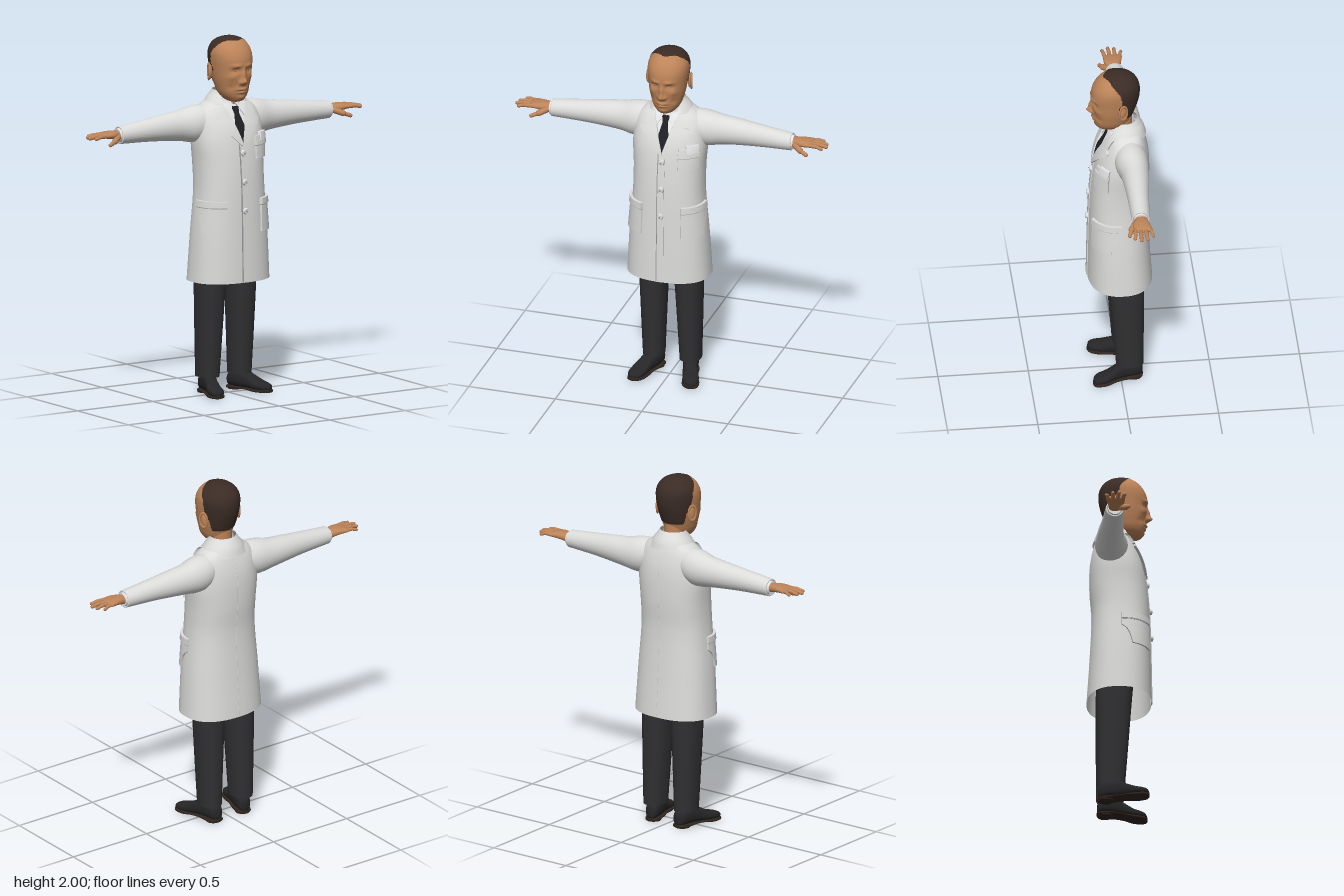
import * as THREE from 'three';
import { toCreasedNormals } from 'three/addons/utils/BufferGeometryUtils.js';

const mat = (name, color, side = THREE.DoubleSide) => {
  const m = new THREE.MeshStandardMaterial({ color, side });
  m.name = name;
  return m;
};
const sgnPow = (v, p) => Math.sign(v) * Math.pow(Math.abs(v), p);

// Smooth lookup in rows [key, halfWidth, front, back, centre] sorted by key
function at(rows, k) {
  let i = 0;
  while (i < rows.length - 2 && k > rows[i + 1][0]) i++;
  const a = rows[i], b = rows[i + 1], pr = rows[i - 1] || a, nx = rows[i + 2] || b;
  const h = b[0] - a[0], t = THREE.MathUtils.clamp((k - a[0]) / h, 0, 1);
  return [1, 2, 3, 4].map((c) => {
    const A = a[c] || 0, B = b[c] || 0;
    const m0 = (B - (pr[c] || 0)) / (b[0] - pr[0]) * h, m1 = ((nx[c] || 0) - A) / (nx[0] - a[0]) * h;
    return A + t * m0 + t * t * (3 * (B - A) - 2 * m0 - m1) + t * t * t * (m0 + m1 - 2 * (B - A));
  });
}

function pointOn(rows, k, a, p, off = 0) {
  const [r, f, b, c] = at(rows, k);
  return [c + (Math.max(r, 0) + off) * sgnPow(Math.cos(a), p),
    (f + b) / 2 + ((f - b) / 2 + off) * sgnPow(Math.sin(a), p)];
}

function build(pos, index) {
  const g = new THREE.BufferGeometry();
  g.setAttribute('position', new THREE.Float32BufferAttribute(pos, 3));
  g.setIndex(index);
  g.computeVertexNormals();
  return g;
}

// Skin stretched over cross-sections along the x, y or z axis
function loft(rows, axis = 'y', { p = 1, n = 32, steps = 24, a0 = 0, arc = Math.PI * 2 } = {}) {
  const pos = [], index = [], full = arc > 6.28, cols = full ? n : n + 1;
  const k0 = rows[0][0], k1 = rows[rows.length - 1][0];
  for (let j = 0; j <= steps; j++) {
    const k = k0 + (k1 - k0) * (1 - Math.cos(Math.PI * j / steps)) / 2;
    for (let i = 0; i < cols; i++) {
      const [u, v] = pointOn(rows, k, a0 + arc * i / n, p);
      pos.push(...(axis === 'y' ? [u, k, v] : axis === 'x' ? [k, u, v] : [u, v, k]));
    }
  }
  for (let j = 0; j < steps; j++) for (let i = 0; i < n; i++) {
    const A = j * cols + i, B = j * cols + (i + 1) % cols, C = A + cols, D = B + cols;
    if (axis === 'y') index.push(A, C, B, B, C, D); else index.push(A, B, C, B, D, C);
  }
  return build(pos, index);
}

function mirrored(geo) {
  const g = geo.clone().scale(-1, 1, 1);
  const idx = g.index ? Array.from(g.index.array) : Array.from({ length: g.attributes.position.count }, (_, i) => i);
  for (let i = 0; i < idx.length; i += 3) [idx[i], idx[i + 1]] = [idx[i + 1], idx[i]];
  g.setIndex(idx);
  return g;
}

// Coat body sections and a panel that lies on its front
const COAT = [[0.64, 0.235, 0.175, -0.182], [0.9, 0.22, 0.17, -0.165], [1.15, 0.2, 0.163, -0.155],
  [1.3, 0.2, 0.152, -0.165], [1.42, 0.208, 0.135, -0.166], [1.5, 0.203, 0.112, -0.16],
  [1.56, 0.195, 0.083, -0.147], [1.6, 0.17, 0.062, -0.135], [1.635, 0.12, 0.042, -0.122], [1.66, 0.08, 0.03, -0.105]];
const CP = 0.85;
const line = (pts) => (y) => {
  let i = 0;
  while (i < pts.length - 2 && y > pts[i + 1][0]) i++;
  const [a, b] = [pts[i], pts[i + 1]];
  return a[1] + (b[1] - a[1]) * THREE.MathUtils.clamp((y - a[0]) / (b[0] - a[0]), 0, 1);
};
function panel(y0, y1, outer, inner, off, n = 10, rowsN = 20) {
  const pos = [], index = [];
  const fn = (f) => (typeof f === 'number' ? () => f : f);
  const angle = (x, y) => Math.acos(THREE.MathUtils.clamp(sgnPow(x / at(COAT, y)[0], 1 / CP), -1, 1));
  for (let j = -1; j <= rowsN + 1; j++) for (let i = -1; i <= n + 1; i++) {
    const rim = j < 0 || i < 0 || j > rowsN || i > n;
    const y = y0 + (y1 - y0) * THREE.MathUtils.clamp(j / rowsN, 0, 1), t = THREE.MathUtils.clamp(i / n, 0, 1);
    const a = THREE.MathUtils.lerp(angle(fn(outer)(y), y), angle(fn(inner)(y), y), t);
    const [x, z] = pointOn(COAT, y, a, CP, rim ? -0.003 : off);
    pos.push(x, y, z);
  }
  const w = n + 3;
  for (let j = 0; j < rowsN + 2; j++) for (let i = 0; i < n + 2; i++) {
    const A = j * w + i;
    index.push(A, A + w, A + 1, A + 1, A + w, A + w + 1);
  }
  return toCreasedNormals(build(pos, index), 0.7);
}

// Head with features raised from a smooth base; hair is a face group
function headGeometry() {
  const g = loft([[1.635, 0, 0.07, 0.05], [1.645, 0.038, 0.11, 0], [1.665, 0.062, 0.127, -0.035], [1.69, 0.078, 0.136, -0.055],
    [1.72, 0.088, 0.143, -0.07], [1.77, 0.1, 0.147, -0.088], [1.83, 0.108, 0.152, -0.106], [1.88, 0.113, 0.152, -0.113],
    [1.92, 0.111, 0.139, -0.11], [1.955, 0.096, 0.115, -0.094], [1.98, 0.07, 0.085, -0.066], [1.995, 0.035, 0.048, -0.026],
    [2, 0, 0.01, 0.01]], 'y', { n: 128, steps: 110, p: 0.95 });
  // [x, y, depth, spread x, spread y]
  const bumps = [[0, 1.762, 0.03, 0.014, 0.017], [0, 1.795, 0.018, 0.011, 0.028], [0.017, 1.756, 0.012, 0.009, 0.01],
    [0.042, 1.822, -0.015, 0.02, 0.013], [0.042, 1.82, 0.007, 0.012, 0.007], [0.04, 1.85, 0.008, 0.026, 0.01],
    [0.065, 1.785, 0.007, 0.02, 0.018], [0.06, 1.73, -0.007, 0.018, 0.02], [0.035, 1.745, -0.004, 0.006, 0.016],
    [0, 1.717, 0.011, 0.026, 0.008], [0, 1.699, 0.008, 0.022, 0.007], [0, 1.708, -0.007, 0.03, 0.003], [0, 1.668, 0.007, 0.025, 0.014]];
  const hairFront = line([[1.8, 0.008], [1.83, 0.008], [1.86, -0.01], [1.92, 0], [1.96, 0.035], [2, 0.075]]);
  const isHair = (x, y, z) => y > 1.73 && z < hairFront(y) + (y > 1.94 ? 0.03 * Math.exp(-((x / 0.035) ** 2)) : 0)
    && y > (z > -0.035 ? 1.81 : 1.74);
  const P = g.attributes.position;
  for (let i = 0; i < P.count; i++) {
    const x = P.getX(i), y = P.getY(i);
    let z = P.getZ(i);
    if (z > 0.02) for (const [bx, by, d, sx, sy] of bumps)
      z += d * Math.exp(-(((Math.abs(x) - bx) / sx) ** 2) - ((y - by) / sy) ** 2);
    const s = isHair(x, y, z) && y < 1.985 ? 1.03 : 1;
    P.setXYZ(i, x * s, y, z * s);
  }
  const skin = [], hair = [], id = g.index.array;
  for (let i = 0; i < id.length; i += 3) {
    const t = [id[i], id[i + 1], id[i + 2]];
    const c = (m) => t.reduce((s, v) => s + P[m](v), 0) / 3;
    (isHair(c('getX'), c('getY'), c('getZ')) ? hair : skin).push(...t);
  }
  g.setIndex([...skin, ...hair]);
  g.addGroup(0, skin.length, 0);
  g.addGroup(skin.length, hair.length, 1);
  g.computeVertexNormals();
  return g;
}

function capsule(a, b, r) {
  const A = new THREE.Vector3(...a), B = new THREE.Vector3(...b), d = B.clone().sub(A);
  const g = new THREE.CapsuleGeometry(r, d.length(), 5, 12);
  g.applyQuaternion(new THREE.Quaternion().setFromUnitVectors(new THREE.Vector3(0, 1, 0), d.normalize()));
  const m = A.add(B).multiplyScalar(0.5);
  return g.translate(m.x, m.y, m.z);
}

export function createModel() {
  const root = new THREE.Group();
  const M = { coat: mat('coat white', 0xdcdcdb), shirt: mat('shirt white', 0xe6e6e8), skin: mat('skin', 0xbd8459),
    hair: mat('hair brown', 0x3b2c25), tie: mat('tie black', 0x1f2024), trousers: mat('trouser charcoal', 0x303032),
    shoe: mat('shoe black', 0x262527), sole: mat('sole brown', 0x30251f), seam: mat('seam grey', 0xa5a5a8), eye: mat('eye dark', 0x4a3226) };
  const add = (name, geo, m) => {
    const o = new THREE.Mesh(geo, m);
    o.name = name;
    root.add(o);
  };
  const pair = (name, geo, m) => {
    add(name + 'Left', geo, m);
    add(name + 'Right', mirrored(geo), m);
  };

  // Head, neck, ears, eyes
  add('head', headGeometry(), [M.skin, M.hair]);
  add('neck', loft([[1.56, 0.066, 0.045, -0.085], [1.64, 0.06, 0.052, -0.075], [1.76, 0.065, 0.06, -0.075]]), M.skin);
  pair('ear', new THREE.SphereGeometry(1, 16, 12).scale(0.012, 0.042, 0.022).rotateY(0.35).translate(0.113, 1.805, -0.012), M.skin);
  pair('earRim', new THREE.TorusGeometry(0.024, 0.0055, 8, 24).scale(1, 1.75, 1).rotateY(Math.PI / 2 + 0.4).translate(0.12, 1.807, -0.014), M.skin);
  pair('eye', new THREE.SphereGeometry(1, 12, 8).scale(0.011, 0.0028, 0.003).rotateY(0.35).translate(0.041, 1.82, 0.132), M.eye);

  // Coat body, sleeves, collar
  add('coatBody', loft(COAT, 'y', { p: CP, n: 64, steps: 48 }), M.coat);
  pair('sleeve', loft([[0.09, 0.08, 0.03, -0.12, 1.535], [0.16, 0.1, 0.04, -0.14, 1.52], [0.22, 0.1, 0.035, -0.142, 1.515],
    [0.28, 0.087, 0.018, -0.138, 1.513], [0.37, 0.077, 0.01, -0.13, 1.513], [0.5, 0.064, 0.004, -0.115, 1.51],
    [0.69, 0.049, 0, -0.1, 1.503]], 'x'), M.coat);
  pair('sleeveHem', new THREE.TorusGeometry(0.045, 0.005, 8, 32).rotateY(Math.PI / 2).translate(0.69, 1.503, -0.05), M.coat);
  pair('shirtCuff', new THREE.CylinderGeometry(0.039, 0.041, 0.04, 24).rotateZ(-Math.PI / 2).translate(0.685, 1.503, -0.05), M.shirt);
  const openFront = (half) => ({ a0: Math.PI / 2 + half, arc: Math.PI * 2 - half * 2, n: 48 });
  add('coatCollar', loft([[1.6, 0.142, 0.085, -0.15], [1.645, 0.112, 0.065, -0.135], [1.68, 0.085, 0.045, -0.113],
    [1.697, 0.075, 0.04, -0.1]], 'y', openFront(0.75)), M.coat);
  add('shirtCollar', loft([[1.58, 0.085, 0.085, -0.1], [1.63, 0.073, 0.064, -0.092], [1.685, 0.066, 0.052, -0.088]], 'y', openFront(0.3)), M.shirt);

  // Shirt front, tie, lapels
  const vEdge = line([[1.42, 0.001], [1.625, 0.065]]);
  add('shirtFront', panel(1.42, 1.61, vEdge, (y) => -vEdge(y), 0.004), M.shirt);
  pair('shirtCollarPoint', panel(1.555, 1.63, line([[1.555, 0.05], [1.63, 0.065]]), line([[1.555, 0.046], [1.63, 0.008]]), 0.011), M.shirt);
  const tieEdge = line([[1.42, 0.003], [1.46, 0.022], [1.5, 0.03], [1.575, 0.014], [1.61, 0.022]]);
  add('tie', panel(1.42, 1.61, tieEdge, (y) => -tieEdge(y), 0.009), M.tie);
  pair('lapel', panel(1.4, 1.625, line([[1.4, 0.006], [1.535, 0.135], [1.55, 0.13], [1.557, 0.1], [1.563, 0.115], [1.625, 0.105]]),
    line([[1.4, 0], [1.43, 0.004], [1.625, 0.062]]), 0.015, 10, 40), M.coat);

  // Front opening, buttons, pockets, back seam
  add('placket', panel(0.642, 1.41, 0.018, -0.02, 0.005, 4, 30), M.coat);
  add('placketSeam', panel(0.642, 1.41, -0.018, -0.023, 0.006, 2, 30), M.seam);
  for (const y of [1.36, 1.2, 1.04]) {
    const z = at(COAT, y)[1];
    add('button', new THREE.CylinderGeometry(0.015, 0.019, 0.016, 20).rotateX(Math.PI / 2).translate(0, y, z + 0.01), M.coat);
    add('buttonThread', new THREE.CylinderGeometry(0.006, 0.006, 0.003, 12).rotateX(Math.PI / 2).translate(0, y, z + 0.0185), M.seam);
  }
  pair('sidePocket', panel(0.915, 1.1, 0.21, 0.11, 0.01), M.coat);
  pair('sidePocketHem', panel(1.065, 1.1, 0.208, 0.107, 0.016), M.coat);
  pair('sidePocketSeam', panel(1.06, 1.066, 0.208, 0.108, 0.012, 10, 2), M.seam);
  add('chestPocket', panel(1.32, 1.445, 0.182, 0.088, 0.01), M.coat);
  add('chestPocketHem', panel(1.395, 1.42, 0.184, 0.086, 0.016), M.coat);
  add('chestPocketSeam', panel(1.39, 1.396, 0.183, 0.087, 0.012, 10, 2), M.seam);
  add('pocketCloth', panel(1.42, 1.462, 0.18, 0.125, 0.015), M.shirt);
  const seamPath = Array.from({ length: 12 }, (_, i) => new THREE.Vector3(0, 0.65 + i * 0.083, at(COAT, 0.65 + i * 0.083)[2] + 0.001));
  add('backSeam', new THREE.TubeGeometry(new THREE.CatmullRomCurve3(seamPath), 40, 0.0025, 6), M.coat);

  // Hands
  pair('palm', loft([[0.67, 0.026, -0.018, -0.085, 1.503], [0.71, 0.025, -0.015, -0.085, 1.507], [0.75, 0.022, 0.0, -0.092, 1.512],
    [0.79, 0.017, 0.002, -0.1, 1.513], [0.815, 0.011, -0.004, -0.1, 1.512], [0.822, 0, -0.03, -0.07, 1.511]], 'x', { p: 0.85 }), M.skin);
  for (const [z0, z1, x1, r] of [[-0.01, 0.0, 0.875, 0.011], [-0.037, -0.033, 0.894, 0.0115], [-0.063, -0.067, 0.887, 0.011], [-0.087, -0.103, 0.86, 0.0095]]) {
    const xm = (0.8 + x1) / 2 + 0.005, zm = (z0 + z1) / 2;
    pair('fingerBase', capsule([0.79, 1.513, z0], [xm, 1.514, zm], r), M.skin);
    pair('fingerTip', capsule([xm, 1.514, zm], [x1, 1.507, z1], r * 0.88), M.skin);
  }
  pair('thumbBase', capsule([0.715, 1.5, -0.022], [0.757, 1.483, 0.008], 0.017), M.skin);
  pair('thumbTip', capsule([0.757, 1.483, 0.008], [0.795, 1.469, 0.022], 0.0115), M.skin);

  // Trousers and shoes
  pair('trouserLeg', loft([[0.095, 0.059, 0.026, -0.125, 0.106], [0.35, 0.069, 0.045, -0.128, 0.104],
    [0.64, 0.08, 0.066, -0.13, 0.1], [0.95, 0.088, 0.09, -0.12, 0.09]], 'y', { p: 0.88 }), M.trousers);
  const shoe = [[-0.122, 0, 0.06, 0.03, 0.095], [-0.115, 0.028, 0.085, 0.016, 0.095], [-0.08, 0.042, 0.108, 0.014, 0.1],
    [-0.02, 0.043, 0.115, 0.014, 0.112], [0.03, 0.042, 0.092, 0.014, 0.13], [0.08, 0.047, 0.066, 0.012, 0.147],
    [0.125, 0.043, 0.054, 0.012, 0.157], [0.15, 0.027, 0.043, 0.014, 0.162], [0.158, 0, 0.03, 0.018, 0.163]];
  pair('shoe', loft(shoe, 'z', { p: 0.8, steps: 36 }), M.shoe);
  pair('sole', loft(shoe.map(([z, r, , , c]) => [z * 1.015, r ? r + 0.003 : 0, 0.019, z > -0.03 && z < 0.05 ? 0.009 : 0.002, c]), 'z', { p: 0.5, steps: 36 }), M.sole);
  pair('heel', new THREE.CylinderGeometry(0.042, 0.042, 0.018, 24).translate(0.1, 0.009, -0.078), M.sole);
  return root;
}
